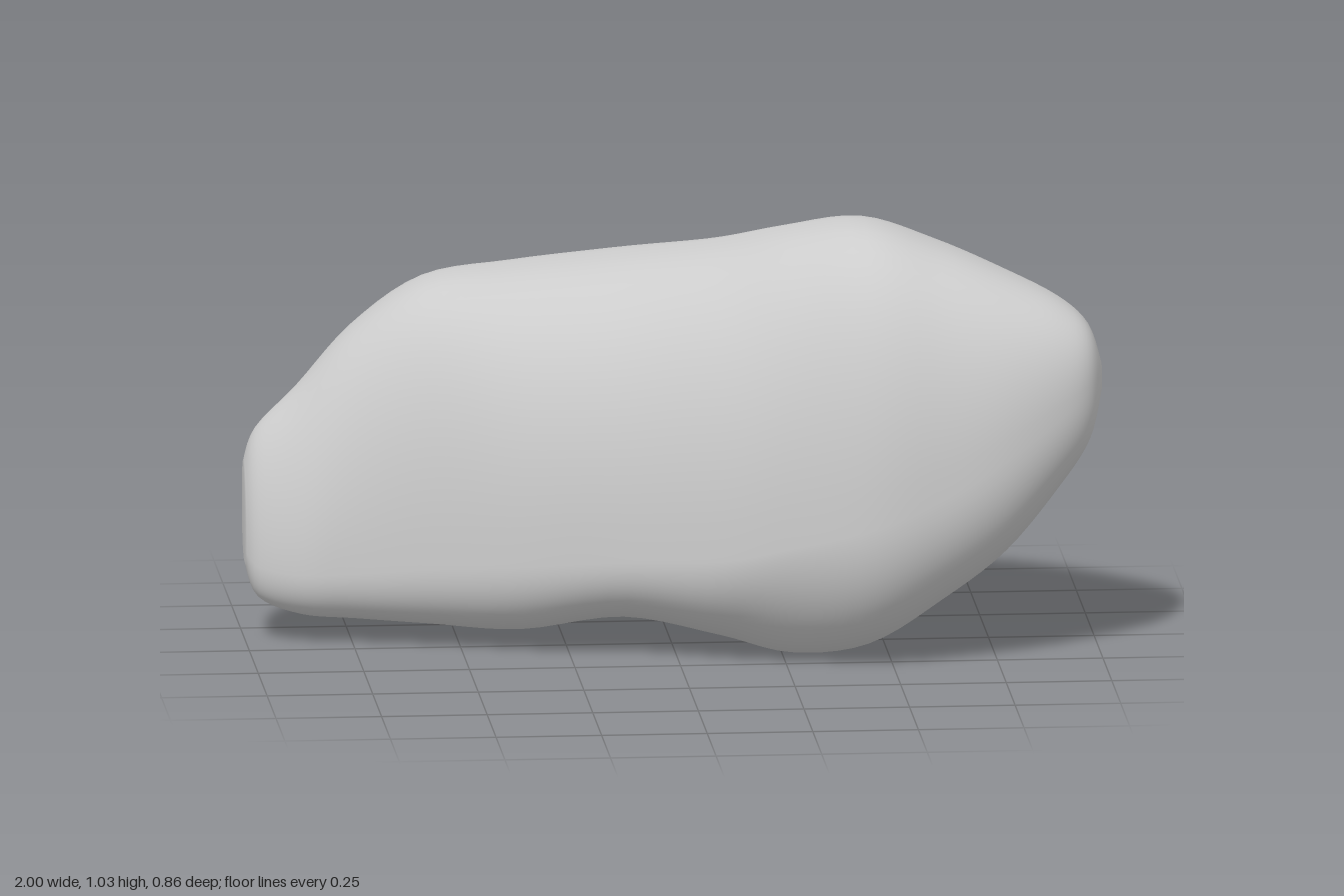
import * as THREE from 'three';

// Cross-sections along x:
// [x, topY, topZ, frontZ, frontY, bottomY, bottomZ, backZ, backY, lower-back hollowness]
const SECTIONS = [
  [-1.0, 0.42, -0.19, -0.11, 0.22, 0.19, -0.14, -0.21, 0.30, 1.0],
  [-0.97, 0.50, -0.20, -0.065, 0.19, 0.11, -0.12, -0.23, 0.31, 0.95],
  [-0.87, 0.60, -0.21, -0.01, 0.18, 0.07, -0.11, -0.265, 0.36, 0.95],
  [-0.74, 0.74, -0.22, 0.02, 0.19, 0.06, -0.10, -0.34, 0.50, 1.15],
  [-0.57, 0.85, -0.23, 0.075, 0.21, 0.05, -0.08, -0.405, 0.61, 1.35],
  [-0.36, 0.88, -0.24, 0.16, 0.23, 0.04, -0.06, -0.425, 0.66, 1.45],
  [-0.12, 0.91, -0.21, 0.225, 0.25, 0.08, 0.0, -0.43, 0.68, 1.55],
  [0.10, 0.95, -0.12, 0.32, 0.27, 0.045, 0.07, -0.385, 0.68, 1.5],
  [0.27, 1.0, -0.03, 0.37, 0.31, 0.005, 0.11, -0.32, 0.66, 1.25],
  [0.45, 1.03, 0.04, 0.42, 0.36, 0.03, 0.13, -0.27, 0.64, 1.12],
  [0.62, 0.98, 0.08, 0.415, 0.43, 0.14, 0.16, -0.21, 0.66, 1.2],
  [0.77, 0.92, 0.12, 0.395, 0.52, 0.26, 0.19, -0.11, 0.68, 1.22],
  [0.90, 0.86, 0.16, 0.35, 0.61, 0.42, 0.21, 0.01, 0.69, 1.15],
  [0.97, 0.80, 0.19, 0.30, 0.66, 0.53, 0.22, 0.09, 0.69, 1.0],
  [1.0, 0.71, 0.2, 0.225, 0.68, 0.64, 0.2, 0.17, 0.68, 0.9],
];

const STEPS = 5, SIDES = 64;

// Smooth interpolation between neighbouring sections
function sectionAt(t) {
  const last = SECTIONS.length - 1;
  const i = Math.min(Math.floor(t), last - 1), u = t - i;
  const [a, b, c, d] = [i - 1, i, i + 1, i + 2].map(k => SECTIONS[THREE.MathUtils.clamp(k, 0, last)]);
  return b.map((_, k) => {
    const m0 = (c[k] - a[k]) / 2, m1 = (d[k] - b[k]) / 2, u2 = u * u, u3 = u2 * u;
    return (2 * u3 - 3 * u2 + 1) * b[k] + (u3 - 2 * u2 + u) * m0 + (3 * u2 - 2 * u3) * c[k] + (u3 - u2) * m1;
  });
}

const swell = (x, centre, width) => Math.exp(-(((x - centre) / width) ** 2));

// Point on a section's outline: four curved quadrants top > front > bottom > back
function outline(s, v) {
  const [x, topY, topZ, frontZ, frontY, botY, botZ, backZ, backY, hollow] = s;
  const a = v * Math.PI * 2, quad = Math.min(3, Math.floor(v * 4));
  const upper = quad === 0 || quad === 3, front = quad < 2;
  const p = [
    0.86 + 0.3 * swell(x, -1, 0.25),    // sloping face near the thin end
    0.9 + 0.18 * swell(x, 0.25, 0.2),   // undercut at the lowest point
    hollow,
    0.9 + 0.25 * swell(x, 0.2, 0.18),   // saddle between the lobes
  ][quad];
  const c = Math.abs(Math.cos(a)) ** p, n = Math.abs(Math.sin(a)) ** p;
  const poleY = upper ? topY : botY, poleZ = upper ? topZ : botZ;
  const sideY = front ? frontY : backY, sideZ = front ? frontZ : backZ;
  return [x, sideY + (poleY - sideY) * c, poleZ + (sideZ - poleZ) * n];
}

function rockGeometry() {
  const pos = [], index = [];
  const rings = (SECTIONS.length - 1) * STEPS;
  for (let i = 0; i <= rings; i++) {
    const s = sectionAt(i / STEPS);
    for (let j = 0; j < SIDES; j++) pos.push(...outline(s, j / SIDES));
  }
  for (let i = 0; i < rings; i++) {
    for (let j = 0; j < SIDES; j++) {
      const a = i * SIDES + j, b = i * SIDES + (j + 1) % SIDES;
      index.push(a, b, a + SIDES, b, b + SIDES, a + SIDES);
    }
  }
  // Close both blunt ends
  const leftTip = pos.length / 3, rightTip = leftTip + 1, end = rings * SIDES;
  pos.push(-1, 0.27, -0.16, 1, 0.68, 0.2);
  for (let j = 0; j < SIDES; j++) {
    const k = (j + 1) % SIDES;
    index.push(leftTip, k, j, rightTip, end + j, end + k);
  }
  const geo = new THREE.BufferGeometry();
  geo.setAttribute('position', new THREE.Float32BufferAttribute(pos, 3));
  geo.setIndex(index);
  geo.computeVertexNormals();
  return geo;
}

export function createModel() {
  const group = new THREE.Group();
  group.name = 'rock';
  const boulder = new THREE.Mesh(rockGeometry(), new THREE.MeshStandardMaterial({ color: 0xcccccc }));
  boulder.name = 'boulder';
  group.add(boulder);
  return group;
}
